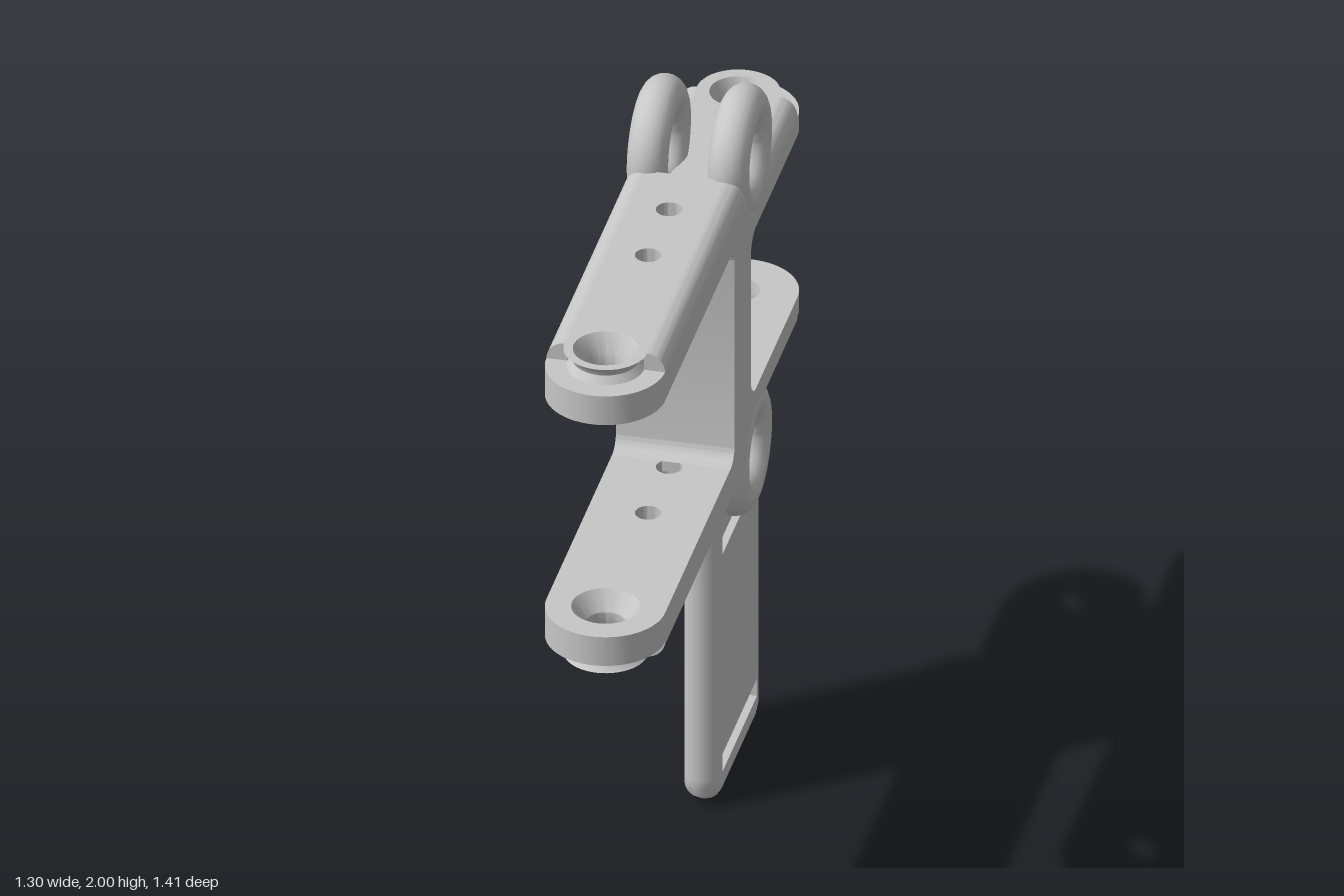
import * as THREE from 'three';
import { toCreasedNormals } from 'three/addons/utils/BufferGeometryUtils.js';

const HALF = 0.155;      // half width of the arms
const PIN = 0.738;       // distance of the pin bores from the centre
const CORE = 0.105;      // half width of the flat outer face
const SEAT = 0.1;        // radius of the bore inserts
const MID = 1.385;       // height of the fork's mid plane

export function createModel() {
  const steel = new THREE.MeshStandardMaterial({ color: 0xc7c7c7 });
  steel.name = 'light grey steel';

  const add = (parent, name, geometry) => {
    const mesh = new THREE.Mesh(toCreasedNormals(geometry, 0.6), steel);
    mesh.name = name;
    parent.add(mesh);
    return mesh;
  };
  const extrude = (shape, depth) =>
    new THREE.ExtrudeGeometry(shape, { depth, bevelEnabled: false, curveSegments: 24 });
  // plan outline extruded upwards from y0 to y1
  const planSolid = (shape, y0, y1) =>
    extrude(shape, y1 - y0).rotateX(-Math.PI / 2).translate(0, y0, 0);
  // cross-section (side, height) extruded along the arm from u0 to u1
  const alongArm = (shape, u0, u1) =>
    extrude(shape, u1 - u0).rotateY(Math.PI / 2).translate(u0, 0, 0);
  const hole = (shape, x, r) =>
    shape.holes.push(new THREE.Path().absarc(x, 0, r, 0, Math.PI * 2, true));

  // One arm: rounded slab, raised cap with rounded edges, bored boss.
  // dir -1 = front fork, +1 = rear fork; root = where it joins the hub
  function arm(parent, name, dir, root, y0, step, top, holes, bore) {
    const group = new THREE.Group();
    group.name = name;
    parent.add(group);
    const a = dir > 0 ? 0 : Math.PI;

    const slab = new THREE.Shape();
    slab.moveTo(root, -HALF * dir);
    slab.lineTo(dir * PIN, -HALF * dir);
    slab.absarc(dir * PIN, 0, HALF, a - Math.PI / 2, a + Math.PI / 2, false);
    slab.lineTo(root, HALF * dir);
    hole(slab, dir * PIN, SEAT);
    holes.forEach((x) => hole(slab, x, 0.034));
    add(group, 'armSlab', planSolid(slab, y0, step));

    const cap = new THREE.Shape();
    cap.moveTo(root, -CORE * dir);
    cap.lineTo(dir * PIN, -CORE * dir);
    cap.absarc(dir * PIN, 0, SEAT, a - Math.PI / 2, a - Math.PI * 1.5, true);
    cap.lineTo(dir * PIN, CORE * dir);
    cap.lineTo(root, CORE * dir);
    holes.forEach((x) => hole(cap, x, 0.034));
    add(group, 'armCap', planSolid(cap, step, top));

    for (const side of [-1, 1]) {
      const edge = new THREE.Shape();
      edge.moveTo(side * CORE, step);
      edge.lineTo(side * HALF, step);
      for (let i = 1; i <= 10; i++) {
        const t = (i / 10) * Math.PI / 2;
        edge.lineTo(side * (CORE + (HALF - CORE) * Math.cos(t)), step + (top - step) * Math.sin(t));
      }
      add(group, 'roundedEdge',
        alongArm(edge, Math.min(root, dir * PIN), Math.max(root, dir * PIN)));
    }

    // bored boss with a waisted outside
    const h = top - step;
    const profile = [
      [bore.inner, y0], [SEAT, y0], [SEAT, step], [0.085, step + h * 0.4],
      [0.09, step + h * 0.7], [0.108, top], [bore.outer, top], [0.053, step],
      [0.053, y0 + (step - y0) * 0.6], [bore.inner, y0],
    ].map(([r, y]) => new THREE.Vector2(r, y));
    add(group, 'pinBoss', new THREE.LatheGeometry(profile, 48)).position.x = dir * PIN;
  }

  // Upright wall with fillets into the arms at both ends
  function uprightShape(uA, yA, rA, uB, yB, rB) {
    const s = new THREE.Shape();
    s.moveTo(uA - rA, yA + 0.03);
    s.lineTo(uA + 0.1, yA + 0.03);
    s.lineTo(uB + rB, yB + 0.03);
    s.absarc(uB + rB, yB - rB, rB, Math.PI / 2, Math.PI, false);
    s.absarc(uB + rB, rB - yB, rB, Math.PI, Math.PI * 1.5, false);
    s.lineTo(uB + rB, -yB - 0.03);
    s.lineTo(uA + 0.1, -yA - 0.03);
    s.lineTo(uA - rA, -yA - 0.03);
    s.absarc(uA - rA, rA - yA, rA, Math.PI * 1.5, Math.PI * 2, false);
    s.absarc(uA - rA, yA - rA, rA, 0, Math.PI / 2, false);
    return s;
  }

  // Arms, ramp and eyes above the mid plane
  function forkHalf(name) {
    const half = new THREE.Group();
    half.name = name;
    arm(half, 'frontArm', -1, 0.14, 0.315, 0.4, 0.45, [-0.265, -0.032],
      { inner: 0.088, outer: 0.084 });
    arm(half, 'rearArm', 1, 0.2, 0.24, 0.295, 0.35, [], { inner: 0.056, outer: 0.074 });

    // sloped step between the thick and the thin arm
    const r = HALF - CORE;
    const section = new THREE.Shape();
    section.moveTo(-HALF, 0.335);
    section.lineTo(HALF, 0.335);
    section.absarc(CORE, 0.45 - r, r, 0, Math.PI / 2, false);
    section.absarc(-CORE, 0.45 - r, r, Math.PI / 2, Math.PI, false);
    const ramp = alongArm(section, 0.14, 0.24);
    const p = ramp.attributes.position;
    for (let i = 0; i < p.count; i++) p.setY(i, p.getY(i) - (p.getX(i) - 0.14));
    add(half, 'ramp', ramp);

    for (const side of [-1, 1]) {
      const eye = add(half, 'liftingEye', new THREE.TorusGeometry(0.127, 0.053, 20, 56));
      eye.position.set(0.305, 0.435, side * 0.106);
    }
    return half;
  }

  const model = new THREE.Group();
  model.name = 'doubleForkLink';
  const link = new THREE.Group();
  link.name = 'link';
  link.rotation.y = 0.84;
  model.add(link);

  const fork = new THREE.Group();
  fork.name = 'fork';
  fork.position.y = MID;
  link.add(fork);
  fork.add(forkHalf('upperHalf'));
  const lower = forkHalf('lowerHalf');
  lower.rotation.x = Math.PI;
  fork.add(lower);

  // central web and the side wall behind it
  add(fork, 'web', extrude(uprightShape(0.037, 0.315, 0.045, 0.217, 0.24, 0.06), HALF * 2)
    .translate(0, 0, -HALF));
  add(fork, 'sideWall', extrude(uprightShape(0.12, 0.24, 0.01, 0.487, 0.24, 0.06), 0.055)
    .translate(0, 0, -HALF));

  // hanging plate: slotted core with a half-round rim
  const plate = new THREE.Group();
  plate.name = 'hangingPlate';
  plate.position.z = 0.053;
  link.add(plate);
  const T = 0.048, L = 0.07 + T, R = 0.58 - T, top = 1.08, c = 0.025;
  const core = new THREE.Shape();
  core.moveTo(L, top);
  core.lineTo(L, T + c);
  core.quadraticCurveTo(L, T, L + c, T);
  core.lineTo(R - c, T);
  core.quadraticCurveTo(R, T, R, T + c);
  core.lineTo(R, top);
  for (const y of [0.083, 0.728]) {
    const slot = new THREE.Path();
    slot.moveTo(0.133, y);
    slot.lineTo(0.133, y + 0.052);
    slot.lineTo(0.517, y + 0.052);
    slot.lineTo(0.517, y);
    slot.closePath();
    core.holes.push(slot);
  }
  add(plate, 'plateCore', extrude(core, T * 2).translate(0, 0, -T));

  const v = (x, y) => new THREE.Vector3(x, y, 0);
  const path = new THREE.CurvePath();
  path.add(new THREE.LineCurve3(v(L, top), v(L, T + c)));
  path.add(new THREE.QuadraticBezierCurve3(v(L, T + c), v(L, T), v(L + c, T)));
  path.add(new THREE.LineCurve3(v(L + c, T), v(R - c, T)));
  path.add(new THREE.QuadraticBezierCurve3(v(R - c, T), v(R, T), v(R, T + c)));
  path.add(new THREE.LineCurve3(v(R, T + c), v(R, top)));
  const rim = new THREE.TubeGeometry(path, 180, T, 16, false);
  // flatten the inner half of the rim so that it stays clear of the slots
  const q = rim.attributes.position;
  for (let i = 0; i < q.count; i++) {
    const x = q.getX(i), y = q.getY(i);
    if (x <= L || x >= R || y <= T) continue;
    const side = x - L < R - x ? L : R;
    if (Math.abs(x - side) < y - T) q.setX(i, side);
    else q.setY(i, T);
  }
  add(plate, 'plateRim', rim);

  return model;
}
